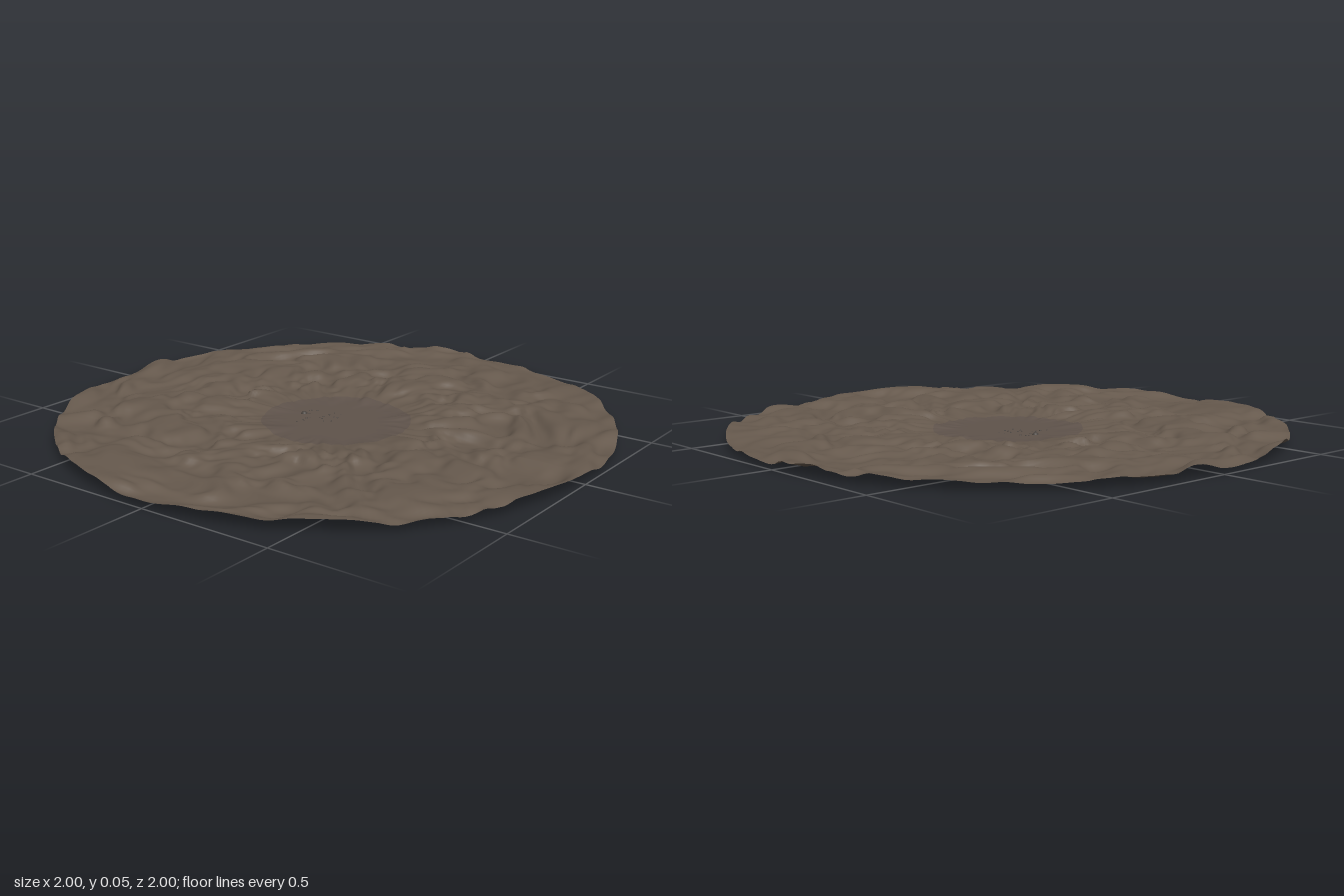
import * as THREE from 'three';

const SEGMENTS = 320, RINGS = 100, FLOOR = 0.015;

// repeatable hash in 0..1
function hash(i, j, seed) {
  const s = Math.sin(i * 127.1 + j * 311.7 + seed * 74.7) * 43758.5453;
  return s - Math.floor(s);
}

// smooth noise in -1..1 that wraps after `period` cells in u
function noise(u, v, period, seed) {
  const i = Math.floor(u), j = Math.floor(v);
  const ease = (t) => t * t * (3 - 2 * t);
  const a = ease(u - i), b = ease(v - j);
  const at = (p, q) => hash(((p % period) + period) % period, q, seed) * 2 - 1;
  const near = THREE.MathUtils.lerp(at(i, j), at(i + 1, j), a);
  const far = THREE.MathUtils.lerp(at(i, j + 1), at(i + 1, j + 1), a);
  return THREE.MathUtils.lerp(near, far, b);
}

// height of the ground: flat in the middle, radial wrinkles outside
function height(x, z) {
  const r = Math.hypot(x, z);
  const turn = Math.atan2(z, x) / (Math.PI * 2) + 0.5;
  const bend = 0.02 * noise(turn * 14, r * 6, 14, 1);
  const t = turn + bend, s = r + 0.06 * noise(turn * 20, r * 8, 20, 2);
  const n = noise(t * 62 , s * 11, 62, 3)
    + 0.55 * noise(t * 34, s * 18, 34, 4)
    + 0.3 * noise(t * 110, s * 26, 110, 5);
  const shore = 0.04 * noise(turn * 24, 0, 24, 6);
  const fade = THREE.MathUtils.smoothstep(r + shore, 0.17, 0.44);
  return FLOOR + fade * (0.017 + 0.018 * Math.tanh(1.25 * n));
}

export function createModel() {
  const model = new THREE.Group();
  const material = (name, color) => new THREE.MeshStandardMaterial({ name, color, side: THREE.DoubleSide });
  const basinEarth = material('basin earth', 0x5f534b);
  const earth = material('earth', 0x66594d);
  const stone = material('dark stone', 0x4a443f);

  // wrinkled ground disc
  const disc = new THREE.RingGeometry(0, 1, SEGMENTS, RINGS, -Math.PI / 2);
  disc.rotateX(-Math.PI / 2);
  const p = disc.attributes.position;
  for (let i = 0; i < p.count; i++) p.setY(i, height(p.getX(i), p.getZ(i)));
  disc.computeVertexNormals();
  // inner rings take the basin colour
  const inner = SEGMENTS * 6 * 27;
  disc.addGroup(0, inner, 0);
  disc.addGroup(inner, disc.index.count - inner, 1);
  const ground = new THREE.Mesh(disc, [basinEarth, earth]);
  ground.name = 'ground';
  model.add(ground);

  // one round stone behind the middle, reaching down to y = 0
  const boulder = new THREE.Mesh(new THREE.SphereGeometry(0.012, 16, 12), stone);
  boulder.name = 'roundStone';
  boulder.position.set(0, 0.012, -0.145);
  model.add(boulder);

  // scattered pebbles
  const pebbles = new THREE.Group();
  pebbles.name = 'pebbles';
  const grain = new THREE.IcosahedronGeometry(1, 1);
  for (let i = 0; i < 22; i++) {
    const pebble = new THREE.Mesh(grain, stone);
    pebble.name = 'pebble';
    pebble.position.set(-0.1 + 0.17 * hash(i, 1, 8), FLOOR, -0.15 + 0.14 * hash(i, 2, 9));
    pebble.scale.setScalar(0.002 + 0.002 * hash(i, 3, 10));
    pebbles.add(pebble);
  }
  model.add(pebbles);
  return model;
}
